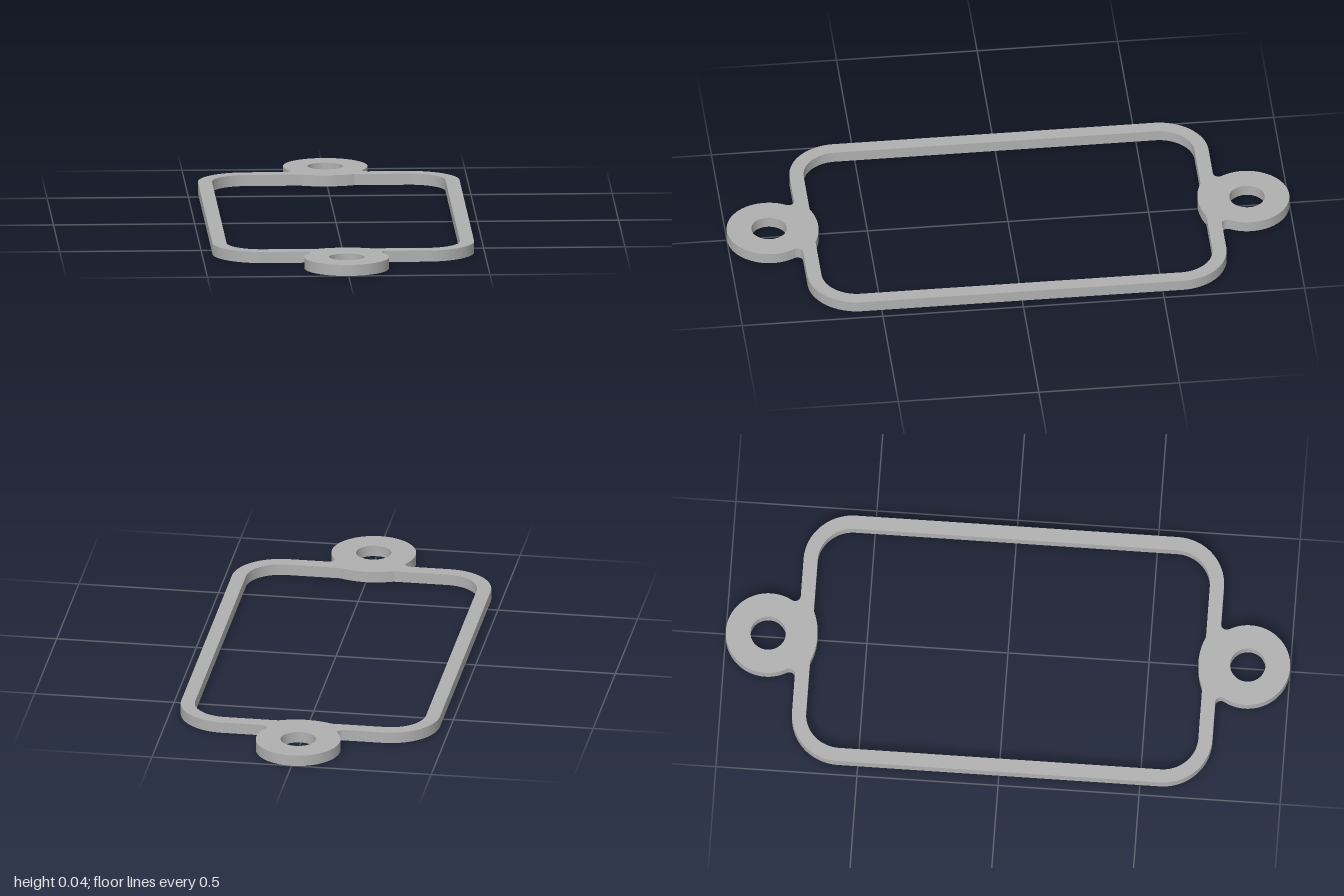
import * as THREE from 'three';
import { toCreasedNormals } from 'three/addons/utils/BufferGeometryUtils.js';

const PI = Math.PI;
const THICKNESS = 0.04;
const CORNER = { x: 0.288, y: 0.57 }; // centre of the rounded corners
const EAR_Y = 0.85;

// Adds arcs [x, y, radius, start, end, clockwise], then the same turned half round
function traceTwice(path, arcs) {
  for (const [sign, turn] of [[1, 0], [-1, PI]]) {
    for (const [x, y, r, a, b, cw] of arcs) {
      path.absarc(sign * x, sign * y, r, a + turn, b + turn, cw);
    }
  }
  path.closePath();
  return path;
}

export function createModel() {
  const group = new THREE.Group();
  const grey = new THREE.MeshStandardMaterial({ color: 0xb0b0b0 });
  grey.name = 'grey';

  // Outer edge: rounded corners, small fillets and round mounting ears
  const shape = traceTwice(new THREE.Shape(), [
    [CORNER.x, CORNER.y, 0.175, 0, PI / 2, false],
    [0.1472, 0.765, 0.02, -PI / 2, -7 * PI / 6, true],
    [0, EAR_Y, 0.15, -PI / 6, 7 * PI / 6, false],
    [-0.1472, 0.765, 0.02, PI / 6, -PI / 2, true],
    [-CORNER.x, CORNER.y, 0.175, PI / 2, PI, false],
  ]);

  // Inner opening, with a shallow bulge behind each ear
  const bulge = Math.asin(0.095 / 0.235);
  shape.holes.push(traceTwice(new THREE.Path(), [
    [CORNER.x, CORNER.y, 0.125, 0, PI / 2, false],
    [0, 0.91, 0.235, -PI / 2 + bulge, -PI / 2 - bulge, true],
    [-CORNER.x, CORNER.y, 0.125, PI / 2, PI, false],
  ]));

  // Screw holes
  for (const y of [EAR_Y, -EAR_Y]) {
    shape.holes.push(new THREE.Path().absarc(0, y, 0.0625, 0, 2 * PI, true));
  }

  const geometry = new THREE.ExtrudeGeometry(shape, {
    depth: THICKNESS, bevelEnabled: false, curveSegments: 32,
  });
  geometry.rotateX(-PI / 2);

  const frame = new THREE.Mesh(toCreasedNormals(geometry, 0.35), grey);
  frame.name = 'gasketFrame';
  group.add(frame);
  return group;
}
